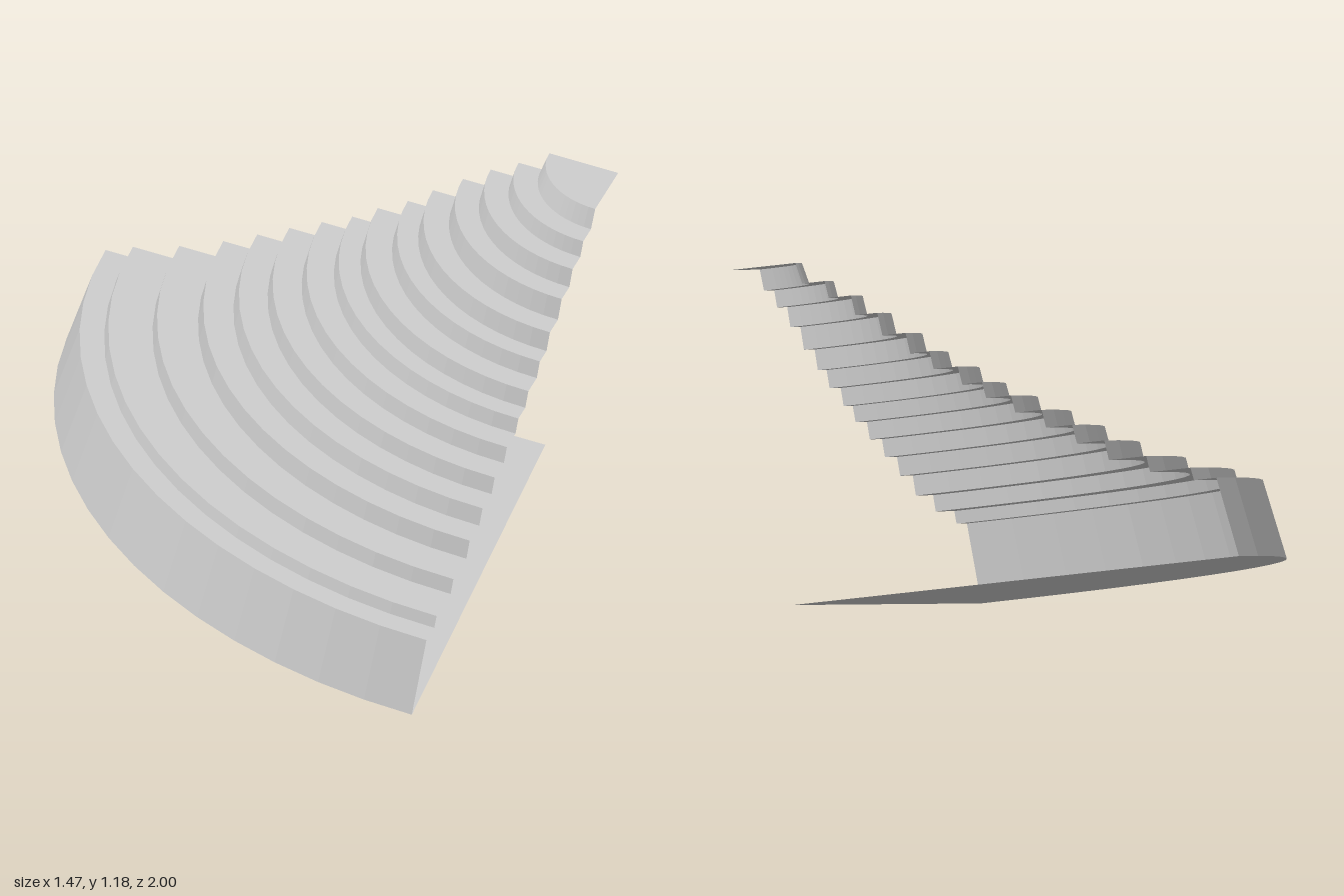
import * as THREE from 'three';

export function createModel() {
  const group = new THREE.Group();
  group.name = 'terracedSlope';
  const material = new THREE.MeshStandardMaterial({
    color: 0xcccccc, flatShading: true, side: THREE.DoubleSide,
  });
  const segments = 16;

  // Terrace risers: [radius at foot, radius at top, height at top]
  const risers = [
    [1.445, 1.4, 0.22], [1.332, 1.325, 0.255], [1.203, 1.196, 0.3],
    [1.083, 1.075, 0.355], [0.992, 0.983, 0.407], [0.904, 0.896, 0.457],
    [0.816, 0.808, 0.505], [0.733, 0.725, 0.55], [0.665, 0.657, 0.6],
    [0.584, 0.576, 0.65], [0.518, 0.51, 0.707], [0.44, 0.431, 0.77],
    [0.365, 0.357, 0.825], [0.29, 0.282, 0.872], [0.215, 0.2, 0.93],
  ];
  const profile = [];
  let height = 0;
  for (const [foot, top, level] of risers) {
    profile.push(new THREE.Vector2(foot, height), new THREE.Vector2(top, level));
    height = level;
  }
  profile.push(new THREE.Vector2(0, height));

  // Quarter turn of stepped terraces, open at the cut sides
  const terraces = new THREE.Mesh(
    new THREE.LatheGeometry(profile, segments, 0, Math.PI / 2), material);
  terraces.name = 'terraces';

  // Flat base under the terraces, its corner set off the axis
  const outline = [new THREE.Vector2(0, 0.095)];
  for (let i = 0; i <= segments; i++) {
    const a = (i / segments) * Math.PI / 2;
    outline.push(new THREE.Vector2(1.445 * Math.cos(a), 1.445 * Math.sin(a)));
  }
  const base = new THREE.Mesh(
    new THREE.ShapeGeometry(new THREE.Shape(outline)).rotateX(Math.PI / 2), material);
  base.name = 'basePlate';

  // Tilt the whole sector
  const slope = new THREE.Group();
  slope.name = 'slope';
  slope.add(terraces, base);
  const up = new THREE.Vector3(0.027, 0.97, 0.24).normalize();
  const side = new THREE.Vector3(-0.654, -0.165, 0.739);
  side.addScaledVector(up, -side.dot(up)).normalize();
  const back = new THREE.Vector3().crossVectors(side, up);
  slope.quaternion.setFromRotationMatrix(new THREE.Matrix4().makeBasis(side, up, back));
  slope.position.set(0.705, 0.243, -0.083);
  group.add(slope);
  return group;
}
